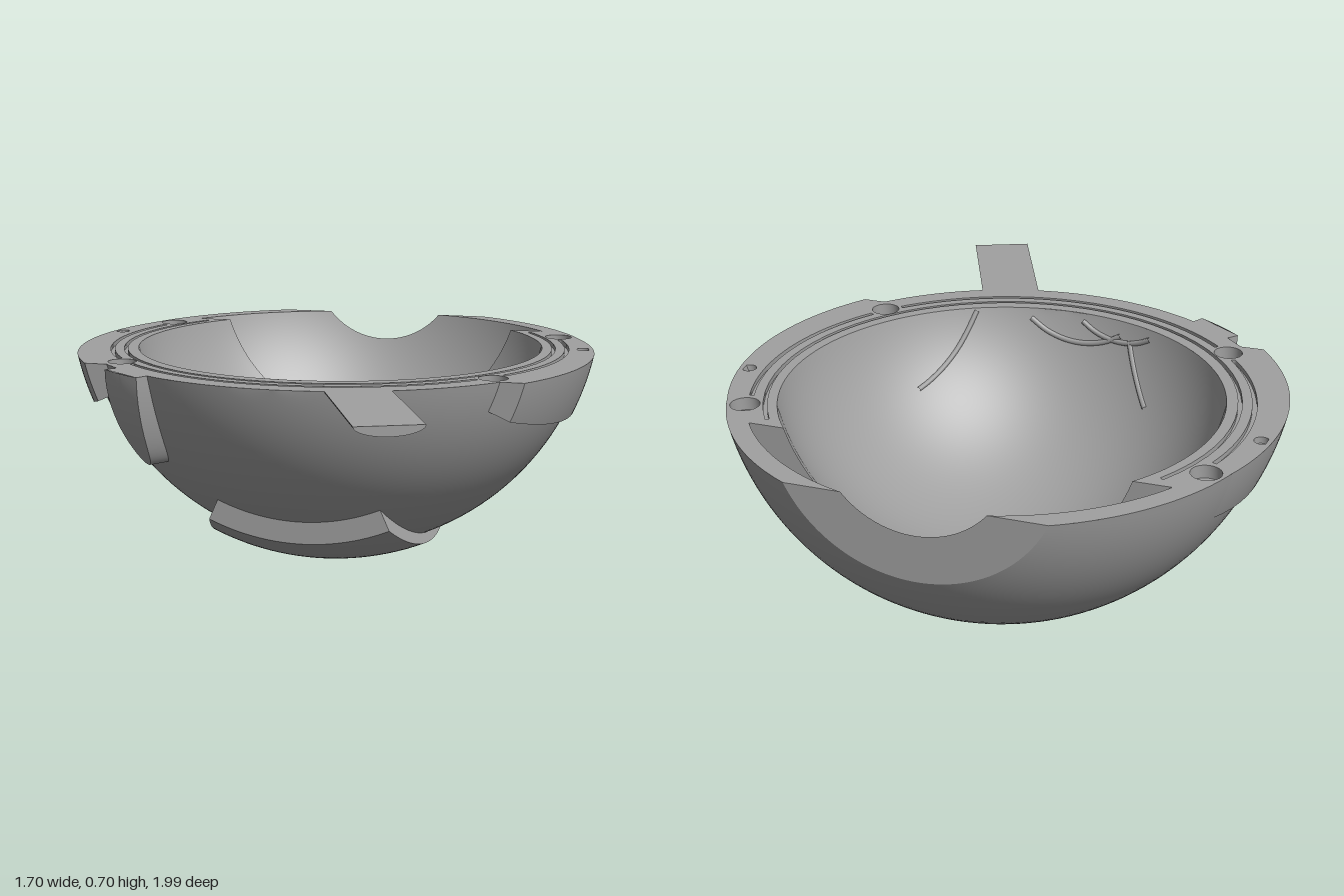
import * as THREE from 'three';

const AXIS = 0.87, TOP = 0.7, DROP = AXIS - TOP; // spheres sit on a z axis above the flat rim
const MAIN = { c: -0.262, r: 0.846 };
const OUTER = { c: -0.206, r: 0.868 };
const CAVITY = { c: -0.27, r: 0.696 };
const DOME = { c: -0.257, r: 0.79 };
const STEP = -0.7, BACK = -1, FRONT = 0.29;
const MEET = -0.569; // where the raised plates fade into the main shell

const rad = THREE.MathUtils.degToRad;
const lerp = THREE.MathUtils.lerp;
const rho = (s, z) => Math.sqrt(Math.max(0, s.r * s.r - (z - s.c) ** 2));
const limit = (p) => Math.acos(Math.min(1, DROP / p));
const point = (p, t, z) => [p * Math.sin(t), AXIS - p * Math.cos(t), z];

// Regular sheet of faces from a rule f(u, v) -> [x, y, z]
function sheet(nu, nv, f) {
  const pos = [], idx = [];
  for (let i = 0; i <= nu; i++) {
    for (let j = 0; j <= nv; j++) {
      pos.push(...f(i / nu, j / nv));
      if (i < nu && j < nv) {
        const a = i * (nv + 1) + j, b = a + nv + 1;
        idx.push(a, b, a + 1, b, b + 1, a + 1);
      }
    }
  }
  const g = new THREE.BufferGeometry();
  g.setAttribute('position', new THREE.Float32BufferAttribute(pos, 3));
  g.setIndex(idx);
  g.computeVertexNormals();
  return g;
}

// Part of a sphere below the rim, from depth zBack forward to zFront
function bowl(s, zBack, zFront) {
  const a0 = Math.acos((zBack - s.c) / s.r);
  const a1 = zFront === undefined ? Math.asin(DROP / s.r) : Math.acos((zFront - s.c) / s.r);
  return sheet(64, 72, (u, v) => {
    const a = lerp(a0, a1, u), p = Math.max(DROP, s.r * Math.sin(a));
    return point(p, lerp(-1, 1, v) * limit(p), s.c + s.r * Math.cos(a));
  });
}

// Flat ring segment facing along z
const ring = (p0, p1, z) => sheet(1, 72, (u, v) => {
  const p = lerp(p0, p1, u);
  return point(p, lerp(-1, 1, v) * limit(p), z);
});

// Horizontal arc of a sphere at rim height, as [x, z] points
function rimArc(s, z0, z1, n = 24) {
  const r = Math.sqrt(s.r * s.r - DROP * DROP);
  const a = (z) => Math.acos(THREE.MathUtils.clamp((z - s.c) / r, -1, 1));
  return Array.from({ length: n + 1 }, (_, i) => {
    const t = lerp(a(z0), a(z1), i / n);
    return [r * Math.sin(t), s.c + r * Math.cos(t)];
  });
}

export function createModel() {
  const group = new THREE.Group();
  const grey = new THREE.MeshStandardMaterial({ color: 0xa0a0a0, side: THREE.DoubleSide });
  grey.name = 'grey';
  const add = (name, geometry) => {
    const m = new THREE.Mesh(geometry, grey);
    m.name = name;
    group.add(m);
    return m;
  };

  // Shell
  add('outerShell', bowl(MAIN, BACK));
  add('innerCavity', bowl(CAVITY, STEP));
  add('rearDome', bowl(DOME, BACK, STEP));
  add('cavityStep', ring(rho(CAVITY, STEP), rho(DOME, STEP), STEP));
  add('rearOpeningEdge', ring(rho(DOME, BACK), rho(MAIN, BACK), BACK));

  // Raised plates: one below, one on each side
  function plate(name, tA, tB) {
    const depth = (u) => lerp(MEET, FRONT, u);
    add(name + 'Skin', sheet(40, 24, (u, v) => {
      const p = rho(OUTER, depth(u));
      return point(p, lerp(tA(p), tB(p), v), depth(u));
    }));
    add(name + 'FrontEdge', sheet(1, 24, (u, v) => {
      const p = lerp(rho(MAIN, FRONT), rho(OUTER, FRONT), u);
      return point(p, lerp(tA(p), tB(p), v), FRONT);
    }));
    for (const t of [tA, tB]) {
      add(name + 'SideEdge', sheet(40, 1, (u, v) => {
        const p = lerp(rho(MAIN, depth(u)), rho(OUTER, depth(u)), v);
        return point(p, t(p), depth(u));
      }));
    }
  }
  plate('bottomPlate', () => rad(-24), () => rad(24));
  plate('leftPlate', () => rad(66), limit);
  plate('rightPlate', (p) => -limit(p), () => rad(-66));

  // Flat rim with grooves and holes
  const half = [
    ...rimArc(MAIN, BACK, MEET), ...rimArc(OUTER, MEET, FRONT), ...rimArc(MAIN, FRONT, 1),
  ];
  const inner = [
    ...rimArc(DOME, BACK, STEP), ...rimArc(CAVITY, STEP, 1, 40),
  ];
  const mirror = (list) => list.slice(0, -1).reverse().map(([x, z]) => [-x, z]);
  const outline = [...half, ...mirror(half), ...mirror(inner).reverse(), ...[...inner].reverse()];
  const rim = new THREE.Shape(outline.map(([x, z]) => new THREE.Vector2(x, -z)));

  const floors = [];
  const sink = (points, depth, name) => {
    rim.holes.push(new THREE.Path(points));
    floors.push({ points, depth, name });
  };
  const groove = (r0, r1, d0, d1) => {
    const n = 48, at = (r, d) => new THREE.Vector2(r * Math.sin(rad(d)), -(MAIN.c + r * Math.cos(rad(d))));
    const pts = [];
    for (let i = 0; i <= n; i++) pts.push(at(r0, lerp(d0, d1, i / n)));
    for (let i = n; i >= 0; i--) pts.push(at(r1, lerp(d0, d1, i / n)));
    sink(pts, 0.015, 'rimGroove');
  };
  groove(0.708, 0.72, -124, 124);
  groove(0.75, 0.764, -46, 46);
  groove(0.75, 0.764, 54.5, 110.5);
  groove(0.75, 0.764, -110.5, -54.5);
  for (const s of [1, -1]) {
    for (const [x, z, r, d] of [[0.7, -0.59, 0.045, 0.04], [0.59, 0.23, 0.045, 0.04], [0.808, -0.35, 0.023, 0.02]]) {
      const pts = Array.from({ length: 28 }, (_, i) => new THREE.Vector2(
        s * x + r * Math.cos(i / 14 * Math.PI), -z + r * Math.sin(i / 14 * Math.PI)));
      sink(pts, d, 'rimHole');
    }
  }
  const lay = (g, y) => g.rotateX(-Math.PI / 2).translate(0, y, 0);
  add('rim', lay(new THREE.ShapeGeometry(rim), TOP));
  for (const { points, depth, name } of floors) {
    add(name + 'Floor', lay(new THREE.ShapeGeometry(new THREE.Shape(points)), TOP - depth));
    add(name + 'Wall', sheet(points.length, 1, (u, v) => {
      const p = points[Math.round(u * points.length) % points.length];
      return [p.x, TOP - depth * v, -p.y];
    }));
  }

  // Front tab: flat on top, shallow curve below
  const lens = new THREE.Shape();
  lens.absellipse(0, 0, 0.097, 0.03, Math.PI, 2 * Math.PI, false);
  lens.closePath();
  const tab = add('frontTab', new THREE.ExtrudeGeometry(lens, { depth: 0.52, bevelEnabled: false, curveSegments: 20 }));
  tab.position.set(0.222, TOP, 0.475);
  tab.rotation.y = rad(22.8);

  // Raised half-oval pad on the front right
  const pad = (t, w, lift) => {
    const dy = 0.3 * Math.sin(t) * w, a = rad(-36.9 + 5.9 * Math.cos(t) * w);
    const r = lerp(rho({ c: 0, r: MAIN.r - 0.01 }, DROP + dy), 0.87 - 1.1 * dy * dy, lift);
    return [r * Math.sin(a), TOP - dy, MAIN.c + r * Math.cos(a)];
  };
  add('padFace', sheet(32, 8, (u, v) => pad(u * Math.PI, v, 1)));
  add('padEdge', sheet(32, 1, (u, v) => pad(u * Math.PI, 1, v)));
  add('padTop', sheet(1, 1, (u, v) => pad(u * Math.PI, 1, v)));

  // Thin ridges lying on the cavity wall
  for (const [x0, z0, x1, z1] of [[-0.33, 0.2, -0.235, 0.345], [0.43, 0.11, 0.3, 0.335], [-0.2, 0.36, 0.12, 0.385], [-0.31, 0.32, -0.06, 0.395]]) {
    const pts = Array.from({ length: 7 }, (_, i) => {
      const x = lerp(x0, x1, i / 6), z = lerp(z0, z1, i / 6), p = rho(CAVITY, z);
      return new THREE.Vector3(x, Math.min(TOP - 0.01, AXIS - Math.sqrt(Math.max(0, p * p - x * x))), z);
    });
    add('cavityRidge', new THREE.TubeGeometry(new THREE.CatmullRomCurve3(pts), 20, 0.009, 6));
  }
  return group;
}
